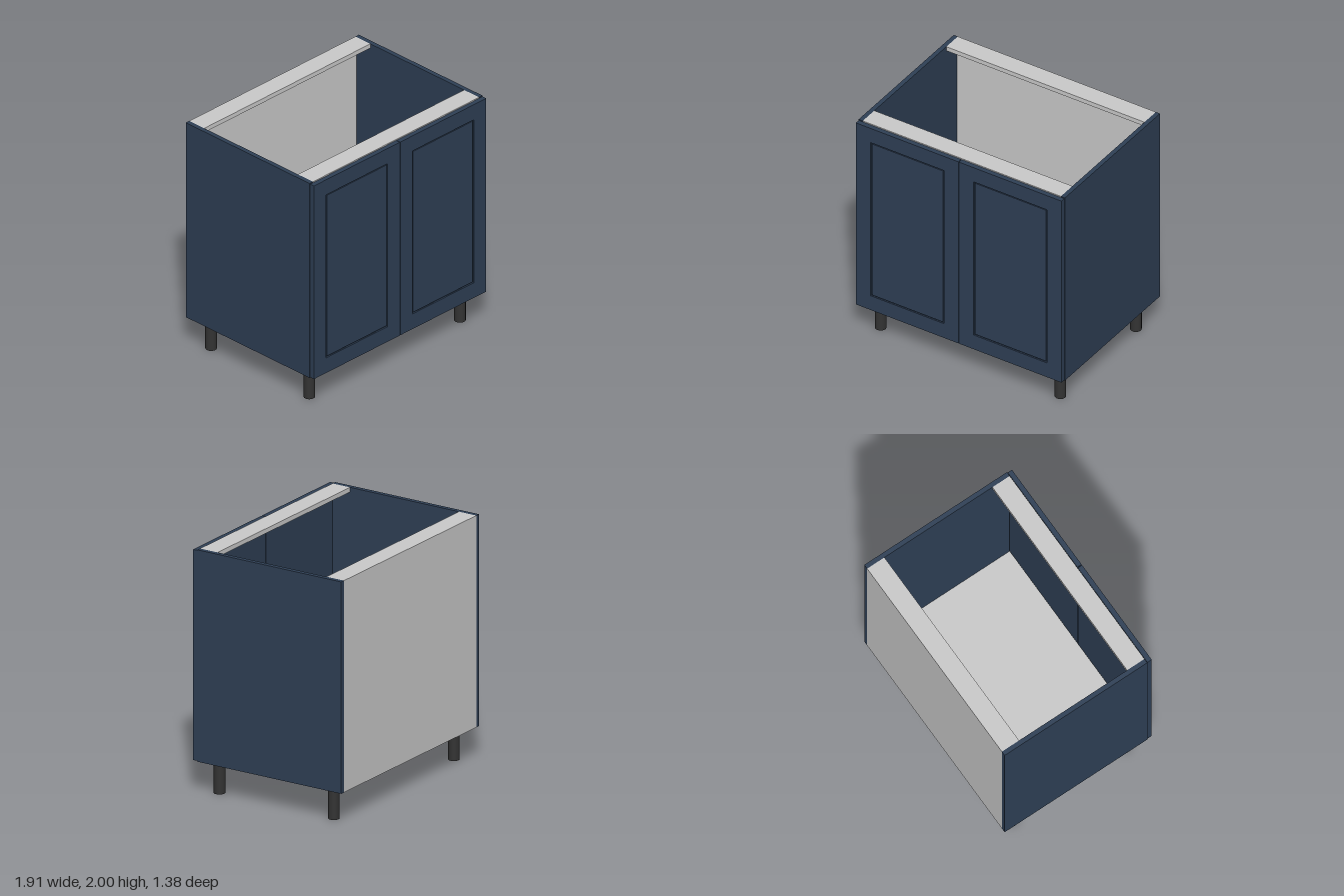
import * as THREE from 'three';

const navy = new THREE.MeshStandardMaterial({ color: 0x2f4056 });
const grey = new THREE.MeshStandardMaterial({ color: 0xcccccc });
const black = new THREE.MeshStandardMaterial({ color: 0x333333 });

// Box given by its minimum and maximum corners
function box(name, material, [x0, y0, z0], [x1, y1, z1]) {
  const mesh = new THREE.Mesh(new THREE.BoxGeometry(x1 - x0, y1 - y0, z1 - z0), material);
  mesh.position.set((x0 + x1) / 2, (y0 + y1) / 2, (z0 + z1) / 2);
  mesh.name = name;
  return mesh;
}

// Closed rectangle outline, usable as a shape or a hole
function rectangle(Type, x0, y0, x1, y1) {
  const r = new Type();
  r.moveTo(x0, y0);
  r.lineTo(x1, y0);
  r.lineTo(x1, y1);
  r.lineTo(x0, y1);
  r.closePath();
  return r;
}

// Door with a flat frame, a narrow groove and a centre panel
function door(name, x0, x1) {
  const group = new THREE.Group();
  group.name = name;
  const y0 = 0.27, y1 = 1.994, inset = 0.135, groove = 0.01;
  const zBack = 0.652, zFloor = 0.68, zFront = 0.692;

  const frame = rectangle(THREE.Shape, x0, y0, x1, y1);
  frame.holes.push(rectangle(THREE.Path, x0 + inset, y0 + inset, x1 - inset, y1 - inset));
  const frameMesh = new THREE.Mesh(
    new THREE.ExtrudeGeometry(frame, { depth: zFront - zBack, bevelEnabled: false }), navy);
  frameMesh.position.z = zBack;
  frameMesh.name = 'doorFrame';

  const i = inset + groove;
  group.add(
    frameMesh,
    box('grooveFloor', navy, [x0 + inset, y0 + inset, zBack], [x1 - inset, y1 - inset, zFloor]),
    box('doorPanel', navy, [x0 + i, y0 + i, zFloor], [x1 - i, y1 - i, zFront - 0.003]),
  );
  return group;
}

export function createModel() {
  const model = new THREE.Group();
  model.name = 'baseCabinet';
  const bottom = 0.265, top = 2, inner = 0.915, outer = 0.953, back = -0.692, front = 0.648;
  const board = 0.038, backBoard = 0.012;

  // Carcass: sides, floor and back
  model.add(
    box('leftSide', navy, [inner, bottom, back], [outer, top, front]),
    box('rightSide', navy, [-outer, bottom, back], [-inner, top, front]),
    box('floorPanel', grey, [-inner, bottom, back + backBoard], [inner, bottom + board, front]),
    box('backPanel', grey, [-inner, bottom, back], [inner, top, back + backBoard]),
  );

  // Top rails, leaving the middle open
  model.add(
    box('backRail', grey, [-inner, top - board, back + backBoard], [inner, top, -0.53]),
    box('frontRail', grey, [-inner, top - board, 0.485], [inner, top, front]),
  );

  // Pair of doors with a fine gap between them
  model.add(door('leftDoor', 0.003, 0.949), door('rightDoor', -0.949, -0.003));

  // Four round legs
  const legGeometry = new THREE.CylinderGeometry(0.045, 0.045, bottom, 32);
  for (const x of [-0.83, 0.83]) {
    for (const z of [-0.54, 0.525]) {
      const leg = new THREE.Mesh(legGeometry, black);
      leg.position.set(x, bottom / 2, z);
      leg.name = (z > 0 ? 'front' : 'back') + (x > 0 ? 'Left' : 'Right') + 'Leg';
      model.add(leg);
    }
  }
  return model;
}
